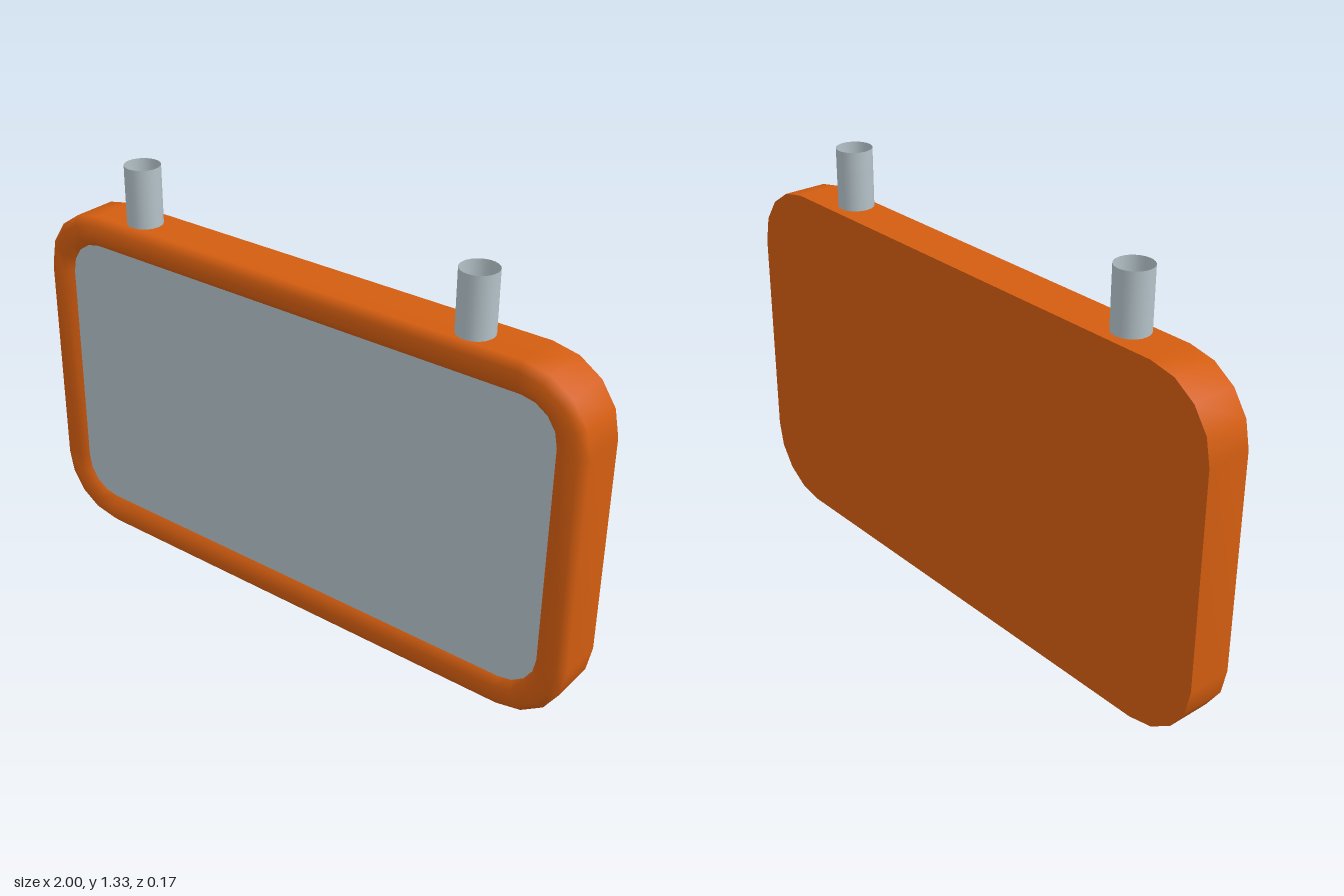
import * as THREE from 'three';

const WIDTH = 2, HEIGHT = 1.14, RADIUS = 0.22, STEPS = 4;

// Rounded rectangle, counter-clockwise, shrunk evenly by inset
function outline(inset) {
  const r = RADIUS - inset, points = [];
  const cx = WIDTH / 2 - RADIUS, cy = HEIGHT / 2 - RADIUS;
  [[1, 1], [-1, 1], [-1, -1], [1, -1]].forEach(([sx, sy], corner) => {
    for (let i = 0; i <= STEPS; i++) {
      const a = (corner + i / STEPS) * Math.PI / 2;
      points.push(new THREE.Vector2(sx * cx + r * Math.cos(a), HEIGHT / 2 + sy * cy + r * Math.sin(a)));
    }
  });
  return points;
}

// Smooth skin through outlines given as [inset, z]
function loft(profile) {
  const positions = [], index = [], n = outline(0).length;
  profile.forEach(([inset, z], ring) => {
    outline(inset).forEach((p, i) => {
      positions.push(p.x, p.y, z);
      if (ring === profile.length - 1) return;
      const a = ring * n + i, b = ring * n + (i + 1) % n;
      index.push(a, b, b + n, a, b + n, a + n);
    });
  });
  const geometry = new THREE.BufferGeometry();
  geometry.setAttribute('position', new THREE.Float32BufferAttribute(positions, 3));
  geometry.setIndex(index);
  geometry.computeVertexNormals();
  return geometry;
}

export function createModel() {
  const group = new THREE.Group();
  const orange = new THREE.MeshStandardMaterial({ name: 'orange', color: 0xd35d10 });
  const paleGrey = new THREE.MeshStandardMaterial({ name: 'paleGrey', color: 0xb4c2c8, side: THREE.DoubleSide });

  const add = (name, geometry, material) => {
    const mesh = new THREE.Mesh(geometry, material);
    mesh.name = name;
    group.add(mesh);
    return mesh;
  };

  // Frame: straight side, bevelled front lip and inner slope
  add('frame', loft([[0, -0.085], [0, 0.062], [0.025, 0.085], [0.075, 0.085], [0.1, 0.062]]), orange);

  // Flat back
  const back = add('back', new THREE.ShapeGeometry(new THREE.Shape(outline(0))), orange);
  back.rotation.y = Math.PI;
  back.position.z = -0.085;

  // Recessed front panel
  add('panel', new THREE.ShapeGeometry(new THREE.Shape(outline(0.1))), paleGrey).position.z = 0.062;

  // Open hanging tubes
  for (const [name, x] of [['rightTube', -0.625], ['leftTube', 0.595]]) {
    add(name, new THREE.CylinderGeometry(0.057, 0.057, 0.2, 24, 1, true), paleGrey).position.set(x, 1.23, 0.002);
  }
  return group;
}
